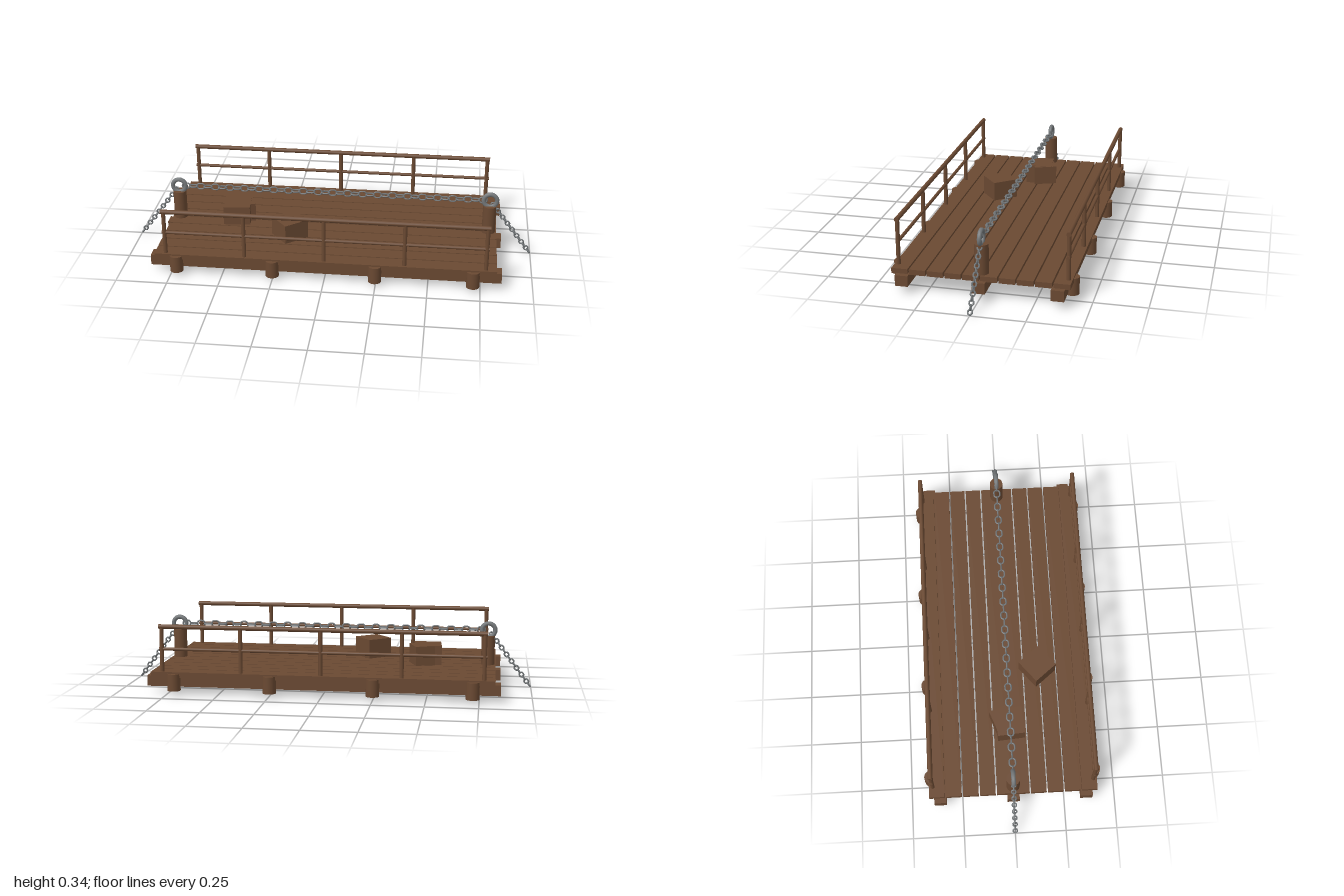
import * as THREE from 'three';

export function createModel() {
  const model = new THREE.Group();
  model.name = 'raft';

  const wood = new THREE.MeshStandardMaterial({ color: 0x6a4932 });
  wood.name = 'brown wood';
  const metal = new THREE.MeshStandardMaterial({ color: 0x74787a });
  metal.name = 'grey iron';

  const add = (name, geometry, material, x, y, z, parent = model) => {
    const mesh = new THREE.Mesh(geometry, material);
    mesh.name = name;
    mesh.position.set(x, y, z);
    parent.add(mesh);
    return mesh;
  };

  // Deck planks, running lengthwise with narrow gaps
  const plank = new THREE.BoxGeometry(1.65, 0.026, 0.076);
  for (let i = 0; i < 10; i++) add('deckPlank', plank, wood, 0, 0.098, (i - 4.5) * 0.083);

  // Support beams under the deck
  const beam = new THREE.BoxGeometry(1.7, 0.052, 0.06);
  for (const z of [-0.358, 0, 0.358]) add('supportBeam', beam, wood, 0, 0.062, z);

  // Short piles along both long edges
  const pile = new THREE.CylinderGeometry(0.032, 0.032, 0.083, 20);
  for (const z of [-0.401, 0.401])
    for (const x of [-0.72, -0.25, 0.246, 0.714]) add('sidePile', pile, wood, x, 0.0615, z);

  // Railings: five posts with a top rail and a thinner middle rail
  const post = new THREE.CylinderGeometry(0.01, 0.01, 0.22, 12);
  const topRail = new THREE.CylinderGeometry(0.011, 0.011, 1.57, 12).rotateZ(Math.PI / 2);
  const midRail = new THREE.CylinderGeometry(0.008, 0.008, 1.57, 12).rotateZ(Math.PI / 2);
  for (const z of [-0.393, 0.393]) {
    const railing = new THREE.Group();
    railing.name = z > 0 ? 'frontRailing' : 'backRailing';
    model.add(railing);
    for (let i = -2; i <= 2; i++) add('railPost', post, wood, i * 0.386, 0.22, z, railing);
    add('topRail', topRail, wood, 0, 0.33, z, railing);
    add('middleRail', midRail, wood, 0, 0.221, z, railing);
  }

  // Crates: [x, z, side, height, turn]
  const crates = [
    [-0.487, 0, 0.134, 0.096, 0.08],
    [-0.468, -0.024, 0.116, 0.0945, 0.36],
    [-0.197, 0.153, 0.131, 0.096, 0.68],
  ];
  for (const [x, z, side, height, turn] of crates) {
    const crate = new THREE.BoxGeometry(side, height, side);
    add('crate', crate, wood, x, 0.111 + height / 2, z).rotation.y = turn;
  }

  // Oval chain link lying in the xy plane, long along x
  const linkGeometry = (length, width, tube) => {
    const r = width / 2 - tube;
    const g = new THREE.TorusGeometry(r, tube, 6, 14);
    const p = g.attributes.position;
    const stretch = length / 2 - tube - r;
    for (let i = 0; i < p.count; i++) {
      const x = p.getX(i);
      if (Math.abs(x) > 1e-5) p.setX(i, x + Math.sign(x) * stretch);
    }
    g.computeVertexNormals();
    return g;
  };

  // Chain of links from a to b, every other link turned a quarter
  const addChain = (name, a, b, count, link) => {
    const chain = new THREE.Group();
    chain.name = name;
    const step = b.clone().sub(a);
    chain.position.copy(a);
    chain.rotation.z = Math.atan2(step.y, step.x);
    for (let i = 0; i < count; i++) {
      const m = add('chainLink', link, metal, (step.length() * i) / (count - 1), 0, 0, chain);
      m.rotation.x = i % 2 ? Math.PI / 2 : 0;
    }
    model.add(chain);
  };

  // Mooring posts with iron rings, and a chain hanging out from each
  const mooring = new THREE.CylinderGeometry(0.033, 0.033, 0.145, 20);
  const ring = new THREE.TorusGeometry(0.033, 0.011, 10, 28);
  const smallLink = linkGeometry(0.032, 0.028, 0.004);
  for (const s of [-1, 1]) {
    add('mooringPost', mooring, wood, s * 0.785, 0.1825, 0);
    add('mooringRing', ring, metal, s * 0.786, 0.283, 0);
    addChain('anchorChain', new THREE.Vector3(s * 0.802, 0.262, 0),
      new THREE.Vector3(s * 0.99, 0.013, 0), 16, smallLink);
  }

  // Long chain strung between the rings
  addChain('deckChain', new THREE.Vector3(-0.75, 0.284, 0),
    new THREE.Vector3(0.75, 0.284, 0), 41, linkGeometry(0.048, 0.038, 0.004));

  return model;
}
